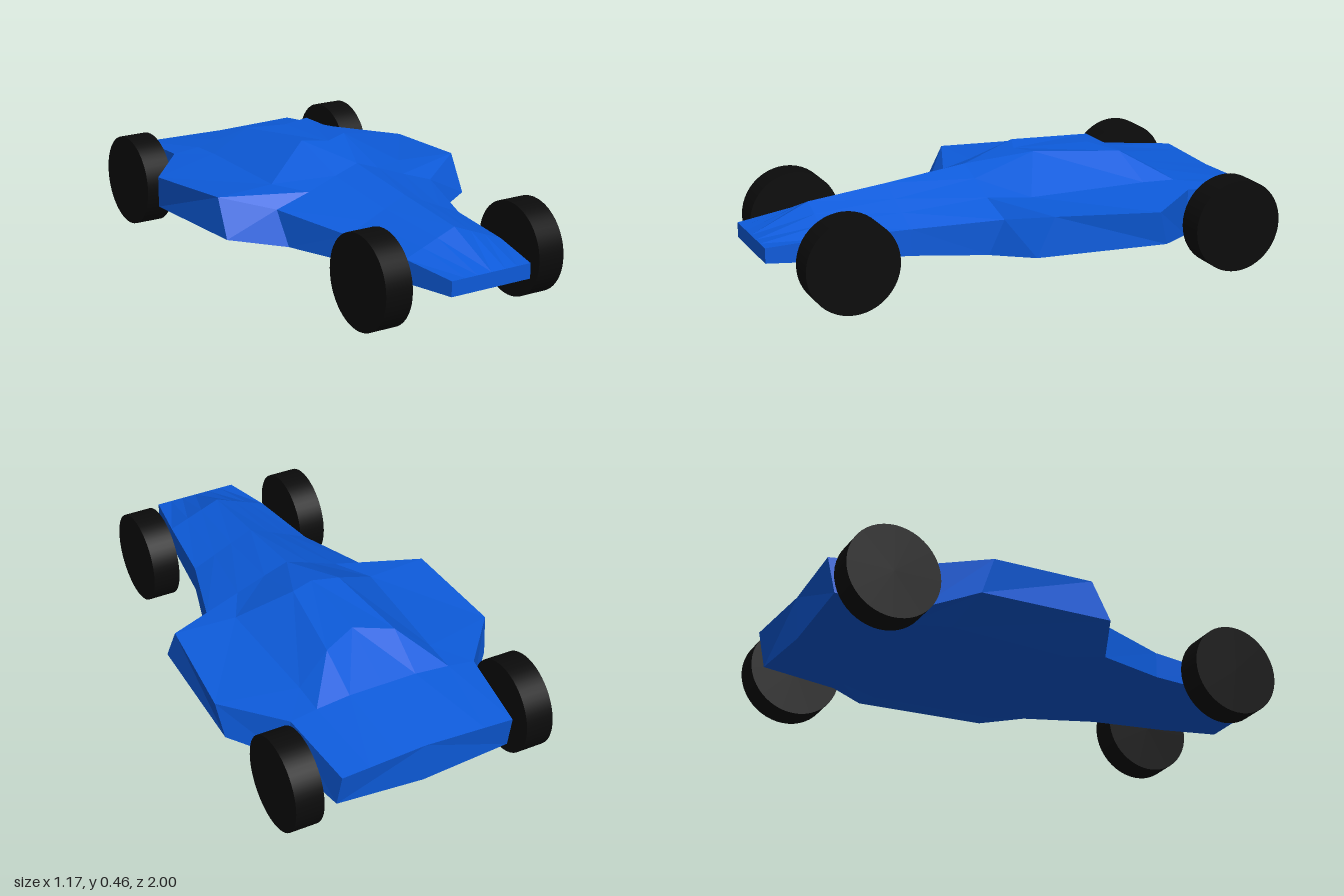
import * as THREE from 'three';

const paint = new THREE.MeshStandardMaterial({ color: 0x0d5bdb, flatShading: true });
const rubber = new THREE.MeshStandardMaterial({ color: 0x0b0b0b });

// Half section of the nose: centre crease sloping to a shoulder, then a near-vertical side.
function noseSection(z, width, top, shoulder, bottom) {
  const slope = (t) => [width * t, THREE.MathUtils.lerp(top, shoulder, t), z];
  return [slope(0), slope(0.35), slope(0.65), slope(1), [width, bottom, z], [width * 0.6, bottom, z], [0, bottom, z]];
}

// Half sections from nose to tail, each running:
// centre top, cover ridge, cover base, deck edge, sill, floor edge, keel
function bodySections() {
  return [
    noseSection(1, 0.175, 0.23, 0.23, 0.17),
    noseSection(0.77, 0.215, 0.335, 0.25, 0.16),
    noseSection(0.45, 0.255, 0.37, 0.255, 0.15),
    // root of the side pods
    [[0, 0.41, 0.12], [0.1, 0.375, 0.12], [0.22, 0.33, 0.12], [0.36, 0.28, 0.11], [0.34, 0.14, 0.165], [0.22, 0.137, 0.18], [0, 0.135, 0.18]],
    // pod front and cover peak
    [[0, 0.45, -0.09], [0.1, 0.457, -0.13], [0.3, 0.335, -0.03], [0.55, 0.33, -0.01], [0.555, 0.18, 0.065], [0.33, 0.108, 0], [0, 0.105, 0]],
    // widest point and rear of the cover
    [[0, 0.44, -0.42], [0.145, 0.43, -0.49], [0.28, 0.33, -0.53], [0.585, 0.303, -0.44], [0.565, 0.165, -0.48], [0.36, 0.108, -0.5], [0, 0.105, -0.5]],
    // waist behind the pods
    [[0, 0.335, -0.66], [0.14, 0.335, -0.66], [0.28, 0.325, -0.665], [0.39, 0.312, -0.67], [0.4, 0.13, -0.66], [0.3, 0.11, -0.66], [0, 0.105, -0.66]],
    // tail
    [[0, 0.28, -0.98], [0.12, 0.28, -0.987], [0.24, 0.28, -0.993], [0.355, 0.28, -1], [0.36, 0.14, -0.97], [0.24, 0.13, -0.97], [0, 0.11, -0.97]],
  ];
}

function buildBody() {
  const sections = bodySections();
  const positions = [];
  const mirror = ([x, y, z]) => [-x, y, z];
  // Each triangle is added on both sides, with the winding reversed on the mirrored one.
  const tri = (a, b, c) => positions.push(...a, ...b, ...c, ...mirror(a), ...mirror(c), ...mirror(b));

  for (let i = 0; i < sections.length - 1; i++) {
    const near = sections[i], far = sections[i + 1];
    for (let j = 0; j < near.length - 1; j++) {
      tri(near[j], near[j + 1], far[j + 1]);
      tri(near[j], far[j + 1], far[j]);
    }
  }
  // Nose and tail caps
  const nose = sections[0], tail = sections[sections.length - 1];
  for (let j = 1; j < nose.length - 1; j++) {
    tri(nose[0], nose[j + 1], nose[j]);
    tri(tail[0], tail[j], tail[j + 1]);
  }
  const geometry = new THREE.BufferGeometry();
  geometry.setAttribute('position', new THREE.Float32BufferAttribute(positions, 3));
  geometry.computeVertexNormals();
  const body = new THREE.Mesh(geometry, paint);
  body.name = 'body';
  return body;
}

export function createModel() {
  const car = new THREE.Group();
  car.name = 'racingCar';
  car.add(buildBody());

  // Four wheels, the rear pair set wider
  const radius = 0.185;
  const wheelGeometry = new THREE.CylinderGeometry(radius, radius, 0.113, 48).rotateZ(Math.PI / 2);
  for (const [end, x, z] of [['front', 0.34, 0.732], ['rear', 0.481, -0.815]]) {
    for (const side of [1, -1]) {
      const wheel = new THREE.Mesh(wheelGeometry, rubber);
      wheel.name = end + (side > 0 ? 'LeftWheel' : 'RightWheel');
      wheel.position.set(side * x, radius, z);
      car.add(wheel);
    }
  }
  return car;
}
